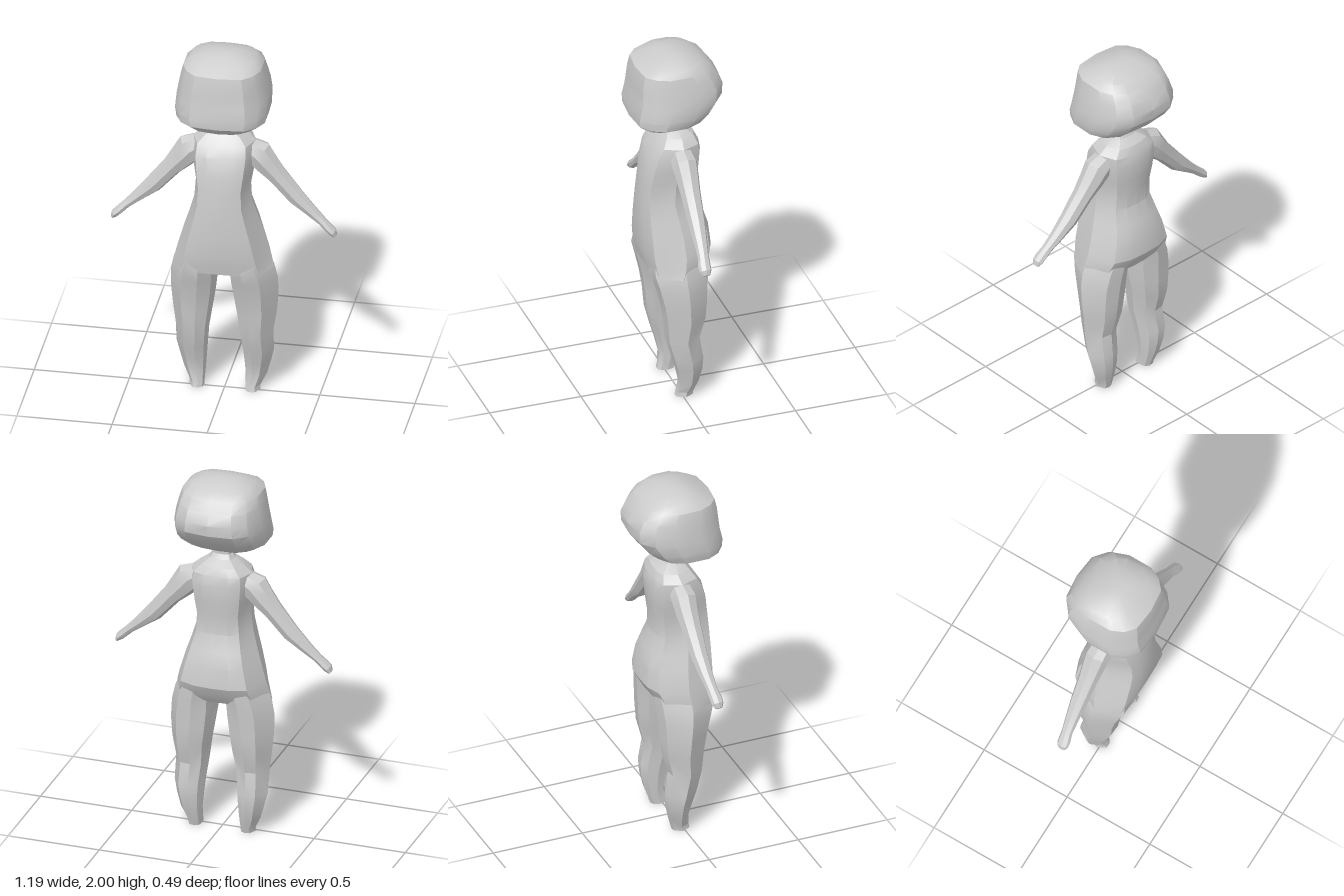
import * as THREE from 'three';
import { toCreasedNormals } from 'three/addons/utils/BufferGeometryUtils.js';

const material = new THREE.MeshStandardMaterial({ color: 0xcccccc });

// Skin a list of rings (arrays of Vector3), closing both ends with fans.
function loft(rings, crease = 0.4) {
  const n = rings[0].length, pos = [], index = [];
  rings.forEach(r => r.forEach(p => pos.push(p.x, p.y, p.z)));
  for (let k = 0; k < rings.length - 1; k++) {
    for (let i = 0; i < n; i++) {
      const j = (i + 1) % n, a = k * n + i, b = k * n + j;
      index.push(a, a + n, b, b, a + n, b + n);
    }
  }
  [0, rings.length - 1].forEach(k => {
    const c = new THREE.Vector3();
    rings[k].forEach(p => c.addScaledVector(p, 1 / n));
    const ci = pos.length / 3;
    pos.push(c.x, c.y, c.z);
    for (let i = 0; i < n; i++) {
      const a = k * n + i, b = k * n + (i + 1) % n;
      if (k === 0) index.push(ci, a, b); else index.push(ci, b, a);
    }
  });
  const g = new THREE.BufferGeometry();
  g.setAttribute('position', new THREE.Float32BufferAttribute(pos, 3));
  g.setIndex(index);
  return toCreasedNormals(g, crease);
}

// Horizontal ring: a unit outline stretched to [y, xMin, xMax, zFront, zBack].
function levelRing(outline, [y, x0, x1, zf, zb]) {
  return outline.map(([u, v]) => new THREE.Vector3(
    (x0 + x1) / 2 + u * (x1 - x0) / 2, y, (zf + zb) / 2 + v * (zf - zb) / 2));
}

// Complete a half outline (from front centre round to back centre) on both sides.
function symmetric(half) {
  const right = half.slice().reverse();
  const left = half.slice(1, -1).map(([u, v]) => [-u, v]);
  // back -> +x -> front -> -x
  return [...right, ...left];
}

const headOutline = symmetric([[0, 1], [0.6, 0.93], [0.85, 0.7], [1, 0.35],
  [1, -0.3], [0.85, -0.7], [0.55, -0.94], [0, -1]]);
const bodyOutline = symmetric([[0, 1], [0.42, 0.99], [0.77, 0.86], [1, 0],
  [0.77, -0.8], [0.42, -0.97], [0, -1]]);
const legOutline = [[1, 0], [0.4, 0.95], [-0.3, 1], [-0.85, 0.7], [-1, 0],
  [-0.8, -0.75], [-0.2, -1], [0.45, -0.9]];

function part(name, geometry) {
  const mesh = new THREE.Mesh(geometry, material);
  mesh.name = name;
  return mesh;
}

// Add a left part and its mirror image.
function addPair(group, name, geometry) {
  const left = part('left' + name, geometry);
  const right = part('right' + name, geometry);
  right.scale.x = -1;
  group.add(left, right);
}

export function createModel() {
  const group = new THREE.Group();
  group.name = 'figure';

  // Head: y, half width, front z, back z
  const head = [
    [1.585, 0.10, 0.17, -0.03], [1.605, 0.17, 0.2, -0.08], [1.645, 0.232, 0.238, -0.14],
    [1.69, 0.242, 0.242, -0.19], [1.76, 0.238, 0.228, -0.24], [1.82, 0.228, 0.222, -0.245],
    [1.88, 0.216, 0.216, -0.218], [1.93, 0.203, 0.205, -0.18], [1.965, 0.17, 0.14, -0.13],
    [1.99, 0.105, 0.08, -0.065], [2.0, 0.05, 0.04, -0.02],
  ];
  group.add(part('head', loft(head.map(([y, w, f, b]) =>
    levelRing(headOutline, [y, -w, w, f, b])), 0.5)));

  // Torso with hips, shoulders and neck
  const torso = [
    [0.75, 0.262, 0.163, -0.11], [0.8, 0.252, 0.173, -0.15], [0.86, 0.236, 0.184, -0.18],
    [0.97, 0.204, 0.187, -0.17], [1.05, 0.178, 0.187, -0.145], [1.14, 0.152, 0.184, -0.112],
    [1.24, 0.145, 0.175, -0.115], [1.32, 0.158, 0.164, -0.125], [1.42, 0.17, 0.138, -0.13],
    [1.475, 0.165, 0.105, -0.12], [1.515, 0.12, 0.075, -0.1], [1.545, 0.07, 0.05, -0.055],
    [1.57, 0.056, 0.044, -0.04], [1.63, 0.056, 0.044, -0.04],
  ];
  group.add(part('torso', loft(torso.map(([y, w, f, b]) =>
    levelRing(bodyOutline, [y, -w, w, f, b])))));

  // Legs: y, inner x, outer x, front z, back z
  const leg = [
    [0, 0.108, 0.186, 0.036, -0.058], [0.025, 0.108, 0.186, 0.03, -0.065],
    [0.09, 0.104, 0.218, 0.02, -0.085], [0.17, 0.098, 0.24, 0.038, -0.102],
    [0.24, 0.092, 0.256, 0.058, -0.105], [0.36, 0.08, 0.256, 0.09, -0.086],
    [0.48, 0.062, 0.274, 0.1, -0.118], [0.58, 0.046, 0.283, 0.117, -0.126],
    [0.68, 0.034, 0.281, 0.142, -0.133], [0.76, 0.03, 0.264, 0.165, -0.142],
    [0.86, 0.02, 0.22, 0.16, -0.15],
  ];
  addPair(group, 'Leg', loft(leg.map(r => levelRing(legOutline, r))));

  // Arms with mitten hands: x, y, z, thickness, half depth
  const arm = [
    [0.12, 1.435, -0.005, 0.06, 0.06], [0.175, 1.4, -0.005, 0.08, 0.068],
    [0.22, 1.345, -0.006, 0.068, 0.062], [0.275, 1.282, -0.004, 0.053, 0.054],
    [0.375, 1.163, -0.002, 0.047, 0.046], [0.46, 1.085, 0.004, 0.031, 0.036],
    [0.515, 1.037, 0.01, 0.023, 0.03], [0.55, 1.003, 0.016, 0.023, 0.034],
    [0.572, 0.982, 0.017, 0.022, 0.032], [0.586, 0.962, 0.017, 0.01, 0.02],
  ];
  const dir = new THREE.Vector3(0.68, -0.73, 0).normalize();
  const across = dir.clone().cross(new THREE.Vector3(0, 0, 1));
  const armRings = arm.map(([x, y, z, t, d]) => Array.from({ length: 8 }, (_, i) => {
    const a = i * Math.PI / 4;
    return new THREE.Vector3(x, y, z + d * Math.sin(a)).addScaledVector(across, t * Math.cos(a));
  }));
  addPair(group, 'Arm', loft(armRings));

  return group;
}
